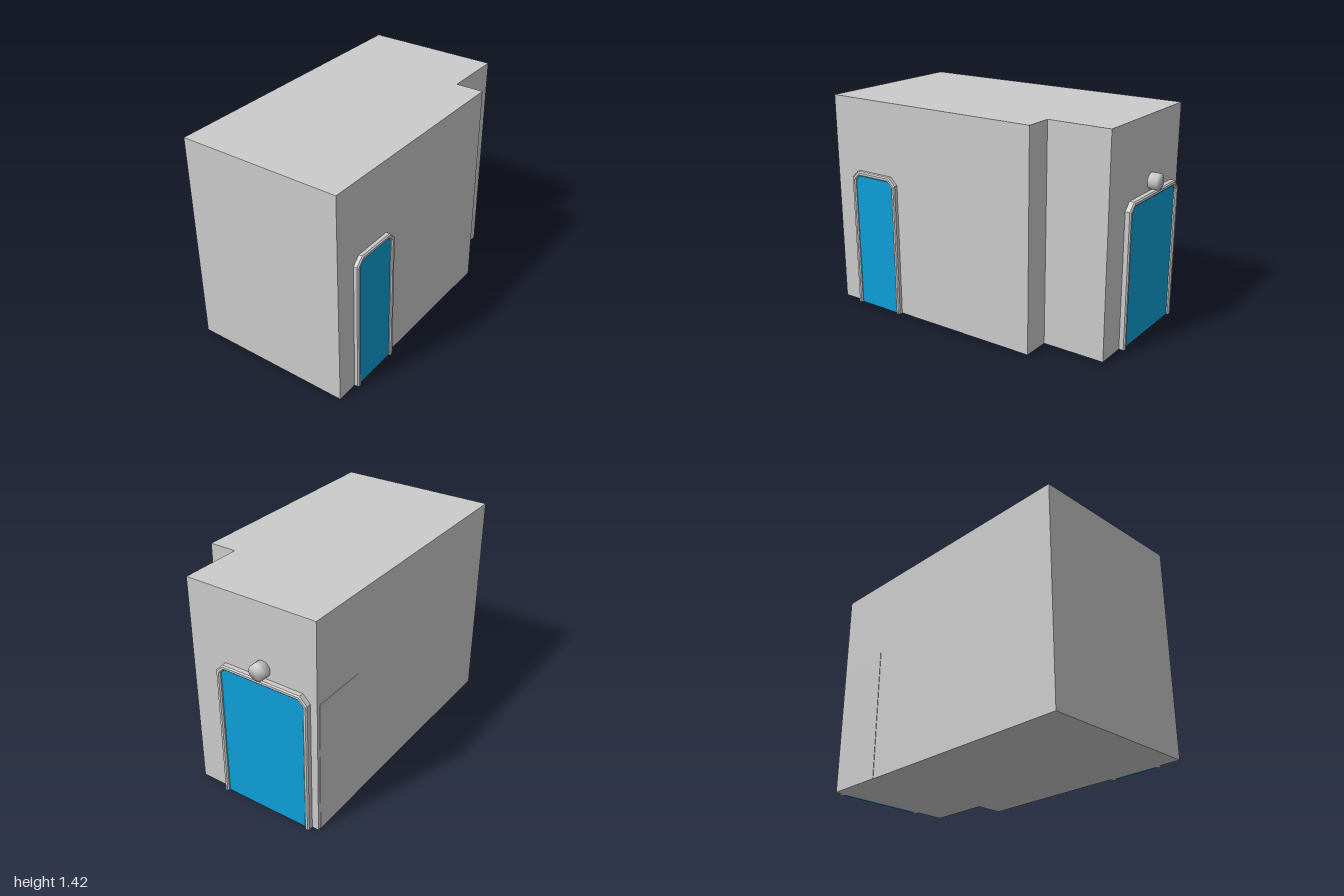
import * as THREE from 'three';
import { mergeVertices } from 'three/addons/utils/BufferGeometryUtils.js';

const grey = new THREE.MeshStandardMaterial({ color: 0xcccccc });
const blue = new THREE.MeshStandardMaterial({ color: 0x0d9fd8 });

function addMesh(parent, name, geometry, material) {
  const mesh = new THREE.Mesh(geometry, material);
  mesh.name = name;
  parent.add(mesh);
  return mesh;
}

// Doorway outline with clipped top corners, moved inwards by d
function outline(width, height, d) {
  const w = width / 2 - d, h = height - d, c = 0.05 - 0.586 * d;
  return [[-w, 0], [-w, h - c], [-w + c, h], [w - c, h], [w, h - c], [w, 0]];
}

// Bevelled strip running up, over and down the doorway outline
function frameGeometry(width, height, depth) {
  const bevel = 0.008, rim = 0.03;
  const profile = [[0, 0], [0, depth - bevel], [bevel, depth],
    [rim - bevel, depth], [rim, depth - bevel], [rim, 0]];
  const rings = profile.map(([d, z]) => outline(width, height, d).map(([x, y]) => [x, y, z]));
  const pos = [];
  const tri = (a, b, c) => pos.push(...a, ...b, ...c);
  for (let j = 0; j < profile.length - 1; j++) {
    for (let i = 0; i < 5; i++) {
      const a = rings[j][i], b = rings[j + 1][i], c = rings[j + 1][i + 1], d = rings[j][i + 1];
      tri(a, b, c);
      tri(a, c, d);
    }
  }
  // Feet of the frame
  for (let k = 1; k < profile.length - 1; k++) {
    tri(rings[0][0], rings[k + 1][0], rings[k][0]);
    tri(rings[0][5], rings[k][5], rings[k + 1][5]);
  }
  const geometry = new THREE.BufferGeometry();
  geometry.setAttribute('position', new THREE.Float32BufferAttribute(pos, 3));
  geometry.computeVertexNormals();
  return geometry;
}

// Framed door facing +z
function createDoor(name, width, height, depth) {
  const door = new THREE.Group();
  door.name = name;
  addMesh(door, 'doorFrame', frameGeometry(width, height, depth), grey);
  const shape = new THREE.Shape(outline(width, height, 0.03).map(([x, y]) => new THREE.Vector2(x, y)));
  addMesh(door, 'doorPanel',
    new THREE.ExtrudeGeometry(shape, { depth: depth * 0.55, bevelEnabled: false }), blue);
  return door;
}

export function createModel() {
  const model = new THREE.Group();
  model.name = 'building';

  // Block with a notched front corner; plan drawn as (x, -z)
  const plan = [[-1, -0.525], [0.525, -0.525], [0.525, -0.34], [0.94, -0.34], [0.94, 0.555], [-1, 0.555]];
  const body = new THREE.ExtrudeGeometry(
    new THREE.Shape(plan.map(([x, y]) => new THREE.Vector2(x, y))),
    { depth: 1.42, bevelEnabled: false });
  body.rotateX(-Math.PI / 2);
  addMesh(model, 'walls', body, grey);

  // Narrow front door and wide side door
  const front = createDoor('frontDoor', 0.37, 0.94, 0.03);
  front.position.set(-0.67, 0, 0.525);
  const side = createDoor('sideDoor', 0.65, 0.94, 0.038);
  side.rotation.y = Math.PI / 2;
  side.position.set(0.94, 0, -0.185);
  model.add(front, side);

  // Round lamp above the side door, with softened edges
  let lamp = new THREE.CylinderGeometry(0.053, 0.053, 0.06, 24);
  lamp.deleteAttribute('normal');
  lamp.deleteAttribute('uv');
  lamp = mergeVertices(lamp);
  lamp.computeVertexNormals();
  lamp.rotateZ(-Math.PI / 2);
  addMesh(model, 'lamp', lamp, grey).position.set(0.97, 1, -0.185);

  // Thin panel almost flush with the back wall
  addMesh(model, 'backPanel', new THREE.BoxGeometry(0.38, 0.89, 0.01), grey)
    .position.set(0.73, 0.445, -0.553);

  return model;
}
